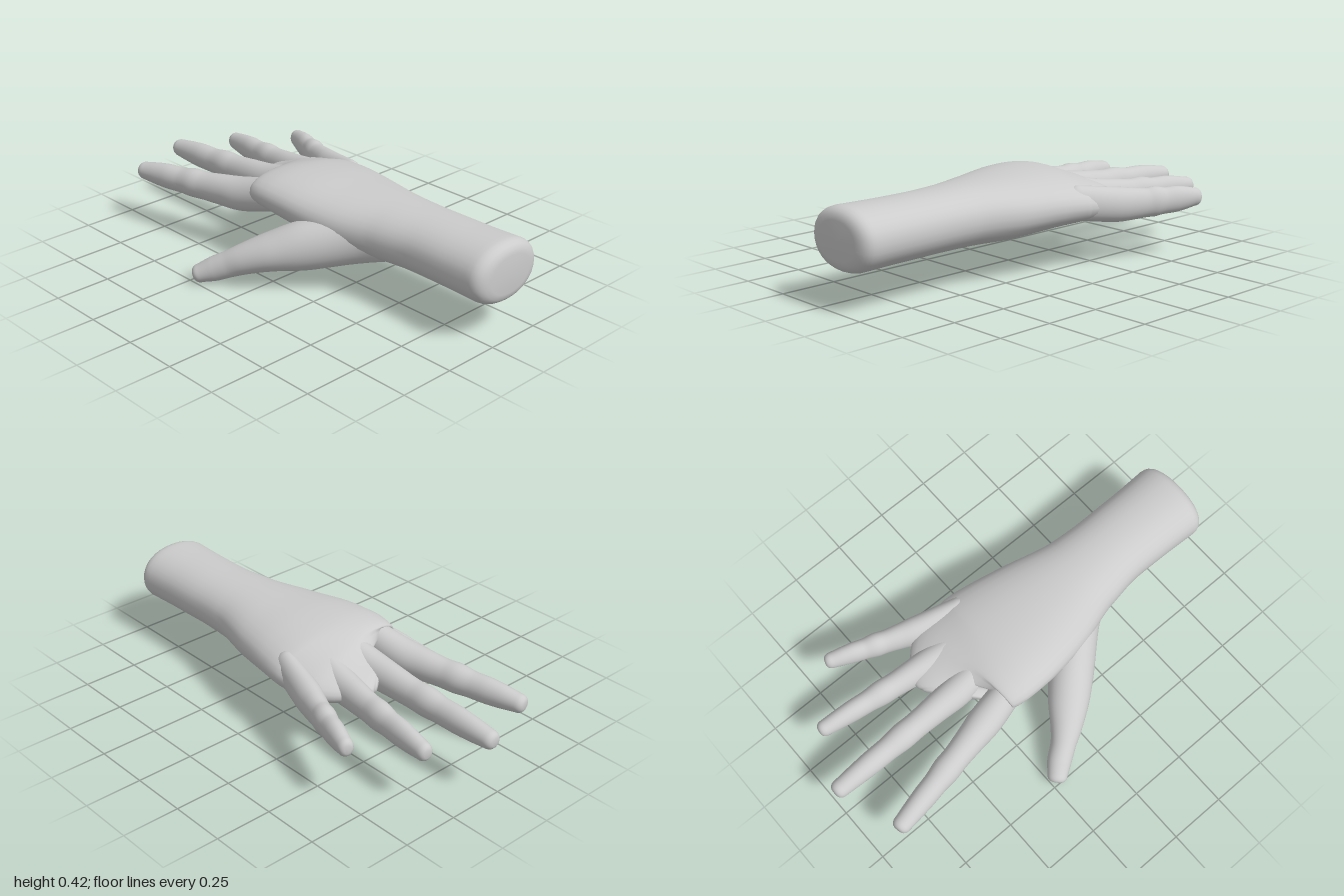
import * as THREE from 'three';

const SIDES = 32;
const CAP_RINGS = 6;

// Skin lofted along stations [x, y, z, halfWidth, halfHeight, roll].
// caps: bulge length of the rounded start and end; blunt: lower is flatter.
function loft(name, stations, steps, caps, { blunt = 0.6, square = 2 } = {}) {
  const path = new THREE.CatmullRomCurve3(stations.map(s => new THREE.Vector3(s[0], s[1], s[2])));
  const size = new THREE.CatmullRomCurve3(stations.map(s => new THREE.Vector3(s[3], s[4], s[5] ?? 0)));
  const up = new THREE.Vector3(0, 1, 0);
  const pos = [], index = [];
  let rings = 0;

  const addRing = (t, push, scale) => {
    const tangent = path.getTangent(t);
    const c = path.getPoint(t).addScaledVector(tangent, push);
    const s = size.getPoint(t);
    const wide = tangent.clone().cross(up).normalize();
    const high = wide.clone().cross(tangent);
    const bend = v => Math.sign(v) * Math.abs(v) ** (2 / square);
    for (let j = 0; j < SIDES; j++) {
      const a = j / SIDES * Math.PI * 2;
      const w = bend(Math.cos(a)) * s.x * scale;
      const h = bend(Math.sin(a)) * s.y * scale + w * s.z;
      const p = c.clone().addScaledVector(wide, w).addScaledVector(high, h);
      pos.push(p.x, p.y, p.z);
    }
    rings++;
  };
  const cap = k => {
    const a = k / CAP_RINGS * Math.PI / 2;
    return [Math.sin(a), Math.cos(a) ** blunt];
  };

  for (let k = CAP_RINGS - 1; k > 0; k--) addRing(0, -caps[0] * cap(k)[0], cap(k)[1]);
  for (let i = 0; i <= steps; i++) addRing(i / steps, 0, 1);
  for (let k = 1; k < CAP_RINGS; k++) addRing(1, caps[1] * cap(k)[0], cap(k)[1]);

  for (let i = 0; i < rings - 1; i++) {
    for (let j = 0; j < SIDES; j++) {
      const a = i * SIDES + j, b = i * SIDES + (j + 1) % SIDES;
      index.push(a, a + SIDES, b, b, a + SIDES, b + SIDES);
    }
  }
  // Poles of the two caps
  const start = rings * SIDES, last = (rings - 1) * SIDES;
  for (const [t, push] of [[0, -caps[0]], [1, caps[1]]]) {
    const p = path.getPoint(t).addScaledVector(path.getTangent(t), push);
    pos.push(p.x, p.y, p.z);
  }
  for (let j = 0; j < SIDES; j++) {
    const k = (j + 1) % SIDES;
    index.push(start, j, k, start + 1, last + k, last + j);
  }

  const geometry = new THREE.BufferGeometry();
  geometry.setAttribute('position', new THREE.Float32BufferAttribute(pos, 3));
  geometry.setIndex(index);
  geometry.computeVertexNormals();
  const mesh = new THREE.Mesh(geometry, new THREE.MeshStandardMaterial({ color: 0xcccccc }));
  mesh.name = name;
  return mesh;
}

// Finger from a knuckle sunk in the palm to the tip, with swelling joints.
// Knuckle, root and tip are [x, y, z]; widths are half widths at root and tip.
function finger(name, knuckle, root, tip, rootWidth, tipWidth) {
  const stations = [[...knuckle, rootWidth * 0.85, 0.075]];
  // [distance along finger, width swell, half height, sag]
  const joints = [
    [0, 1, 0.076, 0], [0.2, 0.97, 0.07, 0.004], [0.38, 0.96, 0.064, 0.005],
    [0.48, 1.04, 0.066, 0.003], [0.62, 0.98, 0.058, 0.004], [0.74, 1.03, 0.058, 0.002],
    [0.87, 1.02, 0.052, 0.001], [1, 0.98, 0.041, 0],
  ];
  for (const [t, swell, h, sag] of joints) {
    const p = root.map((v, i) => v + (tip[i] - v) * t);
    stations.push([p[0], p[1] - sag, p[2], (rootWidth + (tipWidth - rootWidth) * t) * swell, h]);
  }
  return loft(name, stations, 48, [0.05, 0.035]);
}

export function createModel() {
  const hand = new THREE.Group();
  hand.name = 'hand';

  // Forearm, wrist and palm
  hand.add(loft('forearmAndPalm', [
    [0.93, 0.295, -0.1, 0.182, 0.13, 0],
    [0.78, 0.295, -0.1, 0.176, 0.127, 0],
    [0.6, 0.296, -0.1, 0.174, 0.126, 0],
    [0.4, 0.297, -0.09, 0.193, 0.128, 0],
    [0.2, 0.3, -0.083, 0.247, 0.13, -0.03],
    [0, 0.315, -0.085, 0.283, 0.12, -0.07],
    [-0.13, 0.316, -0.092, 0.293, 0.109, -0.09],
    [-0.24, 0.303, -0.095, 0.275, 0.088, -0.1],
    [-0.31, 0.288, -0.07, 0.21, 0.064, -0.06],
    [-0.35, 0.28, -0.035, 0.14, 0.04, 0],
  ], 60, [0.06, 0.012], { blunt: 0.35, square: 2.15 }));

  // Four fingers
  hand.add(
    finger('indexFinger', [-0.12, 0.335, 0.1], [-0.32, 0.285, 0.139], [-0.865, 0.258, 0.25], 0.072, 0.041),
    finger('middleFinger', [-0.12, 0.345, -0.05], [-0.32, 0.294, -0.036], [-0.965, 0.262, -0.033], 0.068, 0.041),
    finger('ringFinger', [-0.12, 0.33, -0.18], [-0.32, 0.286, -0.208], [-0.85, 0.262, -0.279], 0.064, 0.036),
    finger('littleFinger', [-0.1, 0.305, -0.31], [-0.29, 0.278, -0.363], [-0.645, 0.277, -0.492], 0.058, 0.035),
  );

  // Thumb growing out of the fleshy base of the palm
  hand.add(loft('thumb', [
    [0.44, 0.275, -0.02, 0.07, 0.09],
    [0.3, 0.25, 0.045, 0.082, 0.104],
    [0.13, 0.208, 0.175, 0.097, 0.108],
    [0.02, 0.172, 0.278, 0.089, 0.084],
    [-0.06, 0.136, 0.354, 0.068, 0.067],
    [-0.115, 0.106, 0.398, 0.055, 0.058],
    [-0.165, 0.079, 0.433, 0.053, 0.054],
    [-0.21, 0.056, 0.472, 0.044, 0.041],
  ], 48, [0.04, 0.034]));

  return hand;
}
